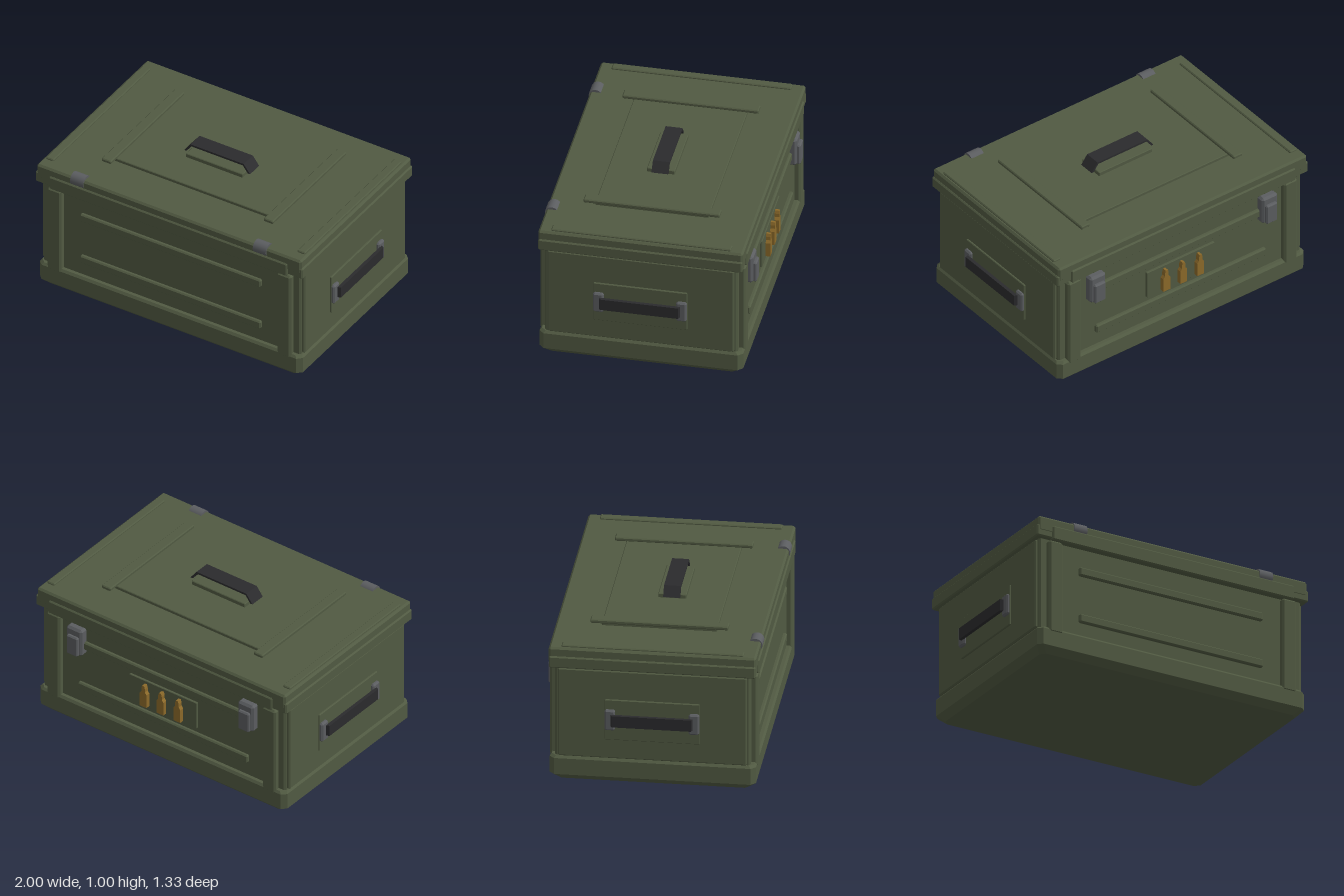
import * as THREE from 'three';
import { ConvexGeometry } from 'three/addons/geometries/ConvexGeometry.js';

const mat = (name, color) => new THREE.MeshStandardMaterial({ name, color });

export function createModel() {
  const olive = mat('olivePaint', 0x515a42);
  const steel = mat('greySteel', 0x5b5d60);
  const black = mat('blackGrip', 0x2b2b2d);
  const brass = mat('brass', 0x8c6a2a);

  const model = new THREE.Group();
  model.name = 'storageCrate';
  const crate = new THREE.Group();
  crate.name = 'crate';
  crate.position.z = 0.0125;
  model.add(crate);

  const add = (name, geometry, material, parent = crate) => {
    const mesh = new THREE.Mesh(geometry, material);
    mesh.name = name;
    parent.add(mesh);
    return mesh;
  };

  // Box with chamfered edges, given by its minimum and maximum corners
  const block = (name, [x0, y0, z0], [x1, y1, z1], material = olive, c = 0.006, parent = crate) => {
    const half = [(x1 - x0) / 2, (y1 - y0) / 2, (z1 - z0) / 2];
    const pts = [];
    for (const sx of [-1, 1]) for (const sy of [-1, 1]) for (const sz of [-1, 1])
      for (let full = 0; full < 3; full++) {
        const p = [sx, sy, sz].map((s, i) => s * (half[i] - (i === full ? 0 : c)));
        pts.push(new THREE.Vector3(...p));
      }
    const mesh = add(name, new ConvexGeometry(pts), material, parent);
    mesh.position.set((x0 + x1) / 2, (y0 + y1) / 2, (z0 + z1) / 2);
    return mesh;
  };

  // Base tray: cut-corner cross-sections stacked upwards
  const trayPoints = [];
  for (const [y, inset] of [[0, 0.042], [0.042, 0], [0.15, 0], [0.165, 0.012]]) {
    const w = 0.95 - inset, d = 0.637 - inset, cut = 0.03;
    for (const sx of [-1, 1]) for (const sz of [-1, 1])
      trayPoints.push(new THREE.Vector3(sx * (w - cut), y, sz * d), new THREE.Vector3(sx * w, y, sz * (d - cut)));
  }
  add('baseTray', new ConvexGeometry(trayPoints), olive);

  // Body with raised end panels
  block('body', [-0.93, 0.14, -0.603], [0.93, 0.78, 0.603], olive, 0.012);
  for (const s of [-1, 1])
    block('endPanel', [s * 0.935 - 0.014, 0.168, -0.583], [s * 0.935 + 0.014, 0.762, 0.583], olive, 0.008);

  // Corner posts and long ribs on the front and back
  for (const s of [-1, 1]) {
    for (const x of [-0.83, 0.83])
      block('cornerPost', [x - 0.05, 0.135, s * 0.615 - 0.026], [x + 0.05, 0.755, s * 0.615 + 0.026], olive, 0.012);
    for (const y of [0.2875, 0.6025])
      block('wallRib', [-0.652, y - 0.028, s * 0.61 - 0.015], [0.652, y + 0.028, s * 0.61 + 0.015], olive, 0.008);
  }

  // Lid: skirt, wider skirt band and top slab
  block('lidSkirt', [-0.965, 0.768, -0.638], [0.965, 0.845, 0.638], olive, 0.008);
  block('lidBand', [-0.86, 0.757, -0.65], [0.86, 0.85, 0.65], olive, 0.008);
  block('lidTop', [-0.955, 0.8, -0.64], [0.955, 0.902, 0.64], olive, 0.012);

  // Lid panel, cross bars and end strips
  block('lidPanel', [-0.6, 0.89, -0.355], [0.6, 0.922, 0.355], olive, 0.004);
  for (const s of [-1, 1]) {
    block('lidCrossBar', [s * 0.585 - 0.034, 0.92, -0.426], [s * 0.585 + 0.034, 0.945, 0.426]);
    block('lidEndStrip', [s * 0.908 - 0.028, 0.89, -0.562], [s * 0.908 + 0.028, 0.914, 0.562]);
  }

  // Bent strip handle: outline of outer and inner trapezoids, extruded along its width
  const bentStrip = (footHalf, topHalf, height, thick, width) => {
    const slope = thick * 1.3;
    const shape = new THREE.Shape([
      [-footHalf, 0], [-footHalf + slope, 0], [-topHalf + thick * 0.5, height - thick], [topHalf - thick * 0.5, height - thick],
      [footHalf - slope, 0], [footHalf, 0], [topHalf, height], [-topHalf, height],
    ].map(([x, y]) => new THREE.Vector2(x, y)));
    return new THREE.ExtrudeGeometry(shape, { depth: width, bevelEnabled: false }).translate(0, 0, -width / 2);
  };

  // Top handle on its plate
  block('topHandlePlate', [-0.205, 0.918, -0.06], [0.205, 0.948, 0.114], olive, 0.004);
  add('topHandle', bentStrip(0.238, 0.192, 0.06, 0.013, 0.105), black).position.set(0, 0.94, 0.027);

  // End handles: mounting plate, brackets and grip
  for (const s of [-1, 1]) {
    const side = new THREE.Group();
    side.name = s > 0 ? 'leftEndHandle' : 'rightEndHandle';
    side.rotation.y = s > 0 ? 0 : Math.PI;
    crate.add(side);
    block('handlePlate', [0.935, 0.3, -0.293], [0.96, 0.57, 0.293], olive, 0.004, side);
    for (const z of [-0.26, 0.26])
      block('handleBracket', [0.95, 0.37, z - 0.033], [0.98, 0.507, z + 0.033], steel, 0.01, side);
    const grip = add('endGrip', bentStrip(0.262, 0.245, 0.04, 0.022, 0.076), black, side);
    grip.rotation.set(Math.PI / 2, 0, -Math.PI / 2, 'ZXY');
    grip.quaternion.setFromRotationMatrix(new THREE.Matrix4().makeBasis(
      new THREE.Vector3(0, 0, 1), new THREE.Vector3(1, 0, 0), new THREE.Vector3(0, 1, 0)));
    grip.position.set(0.96, 0.442, 0);
  }

  // Hinge barrels at the front, latches at the back
  for (const x of [-0.66, 0.66]) {
    const hinge = add('hinge', new THREE.CylinderGeometry(0.043, 0.043, 0.094, 16).rotateZ(Math.PI / 2), steel);
    hinge.position.set(x, 0.876, 0.606);
    block('latchBase', [x - 0.06, 0.535, -0.655], [x + 0.06, 0.728, -0.59], steel, 0.014);
    block('latchLever', [x - 0.042, 0.538, -0.675], [x + 0.042, 0.677, -0.64], steel, 0.008);
  }

  // Back plate with three brass cartridge shapes
  block('backPlate', [-0.26, 0.35, -0.618], [0.26, 0.54, -0.595], olive, 0.003);
  const profile = [[0.026, 0], [0.026, 0.095], [0.014, 0.112], [0.014, 0.135], [0.008, 0.155]];
  const outline = [...profile, ...profile.map(([x, y]) => [-x, y]).reverse()];
  const cartridge = new THREE.ExtrudeGeometry(
    new THREE.Shape(outline.map(([x, y]) => new THREE.Vector2(x, y))), { depth: 0.032, bevelEnabled: false });
  for (const x of [-0.13, 0, 0.13])
    add('cartridgeEmblem', cartridge, brass).position.set(x, 0.365, -0.647);

  return model;
}
